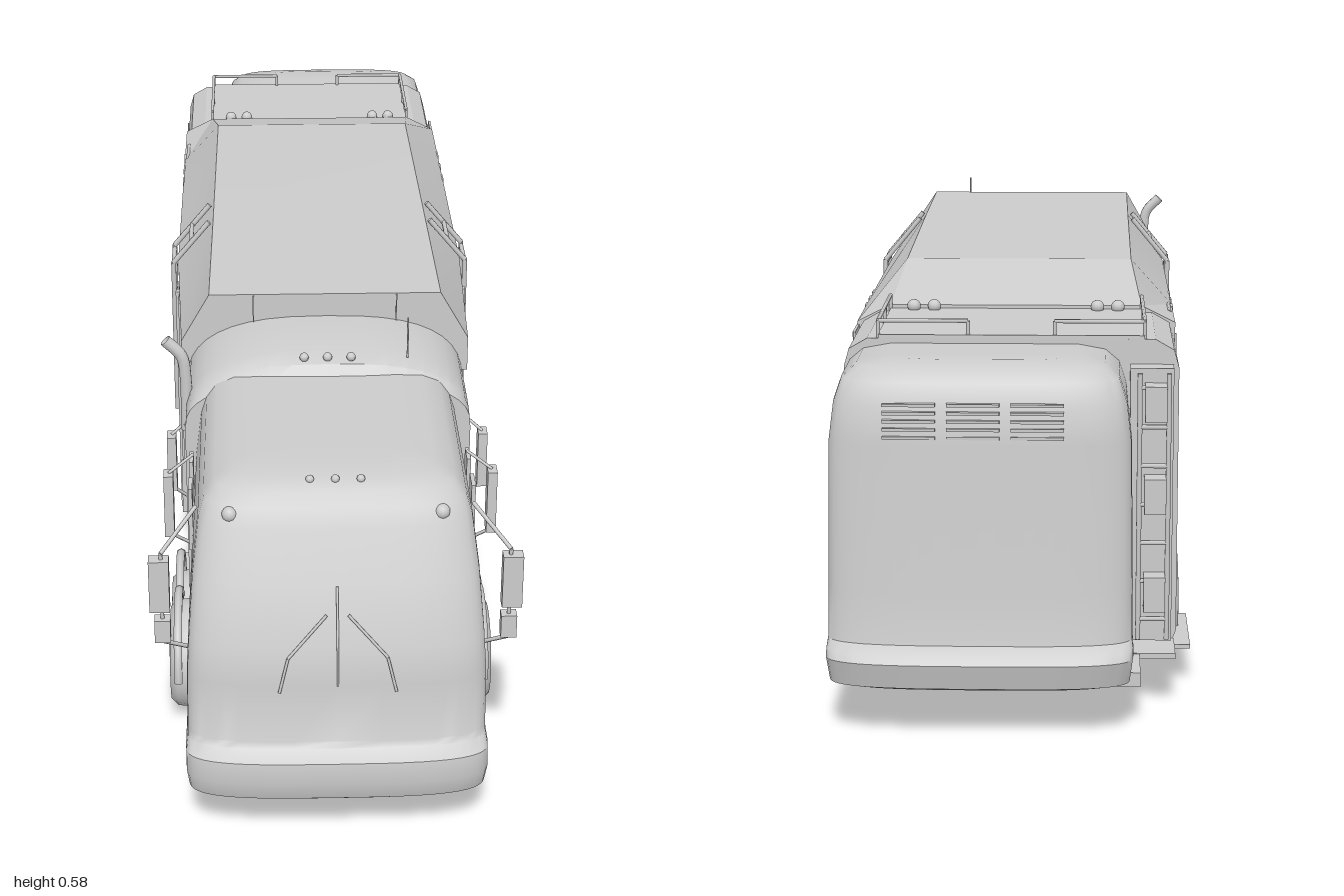
import * as THREE from 'three';
import { toCreasedNormals } from 'three/addons/utils/BufferGeometryUtils.js';

const grey = new THREE.MeshStandardMaterial({ color: 0xcccccc, side: THREE.DoubleSide });

// Skin closed rings of [x, y, z] points, capped at both ends
function loft(rings, crease = 0.6) {
  const n = rings[0].length, pos = rings.flat(2), idx = [];
  for (let i = 0; i < rings.length - 1; i++) {
    for (let j = 0; j < n; j++) {
      const a = i * n + j, b = i * n + (j + 1) % n;
      idx.push(a, b, b + n, a, b + n, a + n);
    }
  }
  [0, rings.length - 1].forEach((r, end) => {
    const c = pos.length / 3;
    for (let k = 0; k < 3; k++) pos.push(rings[r].reduce((s, p) => s + p[k], 0) / n);
    for (let j = 0; j < n; j++) {
      const a = r * n + j, b = r * n + (j + 1) % n;
      idx.push(c, end ? a : b, end ? b : a);
    }
  });
  const g = new THREE.BufferGeometry();
  g.setAttribute('position', new THREE.Float32BufferAttribute(pos, 3));
  g.setIndex(idx);
  return toCreasedNormals(g, crease);
}

const power = (v, e) => Math.sign(v) * Math.abs(v) ** e;

// Coach end: one plan outline per height, with a bowed front; rows are [y, half width, front z]
function coachEnd(rows, back) {
  return loft(rows.map(([y, w, zf]) => {
    const ring = [];
    for (let i = 0; i <= 24; i++) {
      const t = Math.PI * i / 24, d = 0.055;
      ring.push([-w * power(Math.cos(t), 0.6), y, zf - d + d * Math.max(0, Math.sin(t)) ** 0.6]);
    }
    ring.push([w, y, back], [-w, y, back]);
    return ring;
  }));
}

export function createModel() {
  const model = new THREE.Group();
  const add = (name, geo, x = 0, y = 0, z = 0) => {
    const m = new THREE.Mesh(geo, grey);
    m.name = name;
    m.position.set(x, y, z);
    model.add(m);
    return m;
  };
  const box = (name, w, h, d, x, y, z) => add(name, new THREE.BoxGeometry(w, h, d), x, y, z);
  const rod = (name, r, ...pts) => {
    for (let i = 0; i < pts.length - 1; i++) {
      const a = new THREE.Vector3(...pts[i]), b = new THREE.Vector3(...pts[i + 1]);
      const m = add(name, new THREE.CylinderGeometry(r, r, a.distanceTo(b), 6));
      m.position.copy(a).lerp(b, 0.5);
      m.quaternion.setFromUnitVectors(new THREE.Vector3(0, 1, 0), b.sub(a).normalize());
    }
  };

  // Front coach shell with bumper and raked windscreen
  add('frontCoach', coachEnd([
    [0.065, 0.195, 0.97], [0.08, 0.207, 0.99], [0.11, 0.21, 1], [0.14, 0.21, 0.995], [0.152, 0.208, 0.975],
    [0.16, 0.208, 0.97], [0.25, 0.207, 0.967], [0.3, 0.204, 0.957], [0.38, 0.198, 0.922], [0.45, 0.189, 0.889],
    [0.475, 0.181, 0.876], [0.492, 0.166, 0.862], [0.502, 0.14, 0.835], [0.505, 0.1, 0.79]], 0.1));

  // Rear coach shell, set off to one side
  const rear = add('rearCoach', coachEnd([
    [0.065, 0.19, 0.965], [0.075, 0.203, 0.99], [0.11, 0.207, 1], [0.12, 0.207, 0.993], [0.13, 0.206, 0.975],
    [0.2, 0.206, 0.962], [0.4, 0.203, 0.957], [0.45, 0.197, 0.95], [0.48, 0.187, 0.938], [0.496, 0.168, 0.92],
    [0.503, 0.13, 0.89]], 0.5), 0.0375);
  rear.rotation.y = Math.PI;

  // Cab with an arched roof
  const cabRing = (z, top) => {
    const ring = [[-0.214, 0.07, z], [0.214, 0.07, z]];
    for (let i = 0; i <= 20; i++) {
      const t = Math.PI * i / 20;
      ring.push([0.214 * power(Math.cos(t), 0.75), 0.42 + (top - 0.42) * Math.max(0, Math.sin(t)) ** 0.75, z]);
    }
    return ring;
  };
  add('cab', loft([cabRing(0.1, 0.535), cabRing(0.4, 0.535), cabRing(0.49, 0.53), cabRing(0.52, 0.52), cabRing(0.535, 0.5)]));

  // Long equipment body
  const half = [[0.225, 0.07], [0.233, 0.09], [0.233, 0.47], [0.226, 0.495], [0.2, 0.51]];
  const outline = [...half, ...half.map(([x, y]) => [-x, y]).reverse()];
  add('mainBody', loft([-0.775, 0.165].map(z => outline.map(([x, y]) => [x, y, z])), 0.2));

  // Raised roof with bevelled sides, falling away at the back
  add('raisedRoof', loft([[-0.56, 0.185, 0.52], [-0.4, 0.172, 0.565], [0.06, 0.175, 0.572], [0.38, 0.178, 0.572]].map(([z, w, top]) => {
    const s = z > 0.3 ? 0.222 : 0.235;
    return [[s, 0.44, z], [s, 0.495, z], [w, top, z], [-w, top, z], [-s, 0.495, z], [-s, 0.44, z]];
  }), 0.2));
  box('rearDeck', 0.37, 0.02, 0.22, 0, 0.505, -0.665);
  for (const x of [-0.11, 0.11]) box('roofFrontSeam', 0.002, 0.05, 0.003, x, 0.545, 0.381);

  // Wheel: tyre and dished hub turned about one axis
  const wheelGeo = new THREE.LatheGeometry([[0, -0.03], [0.04, -0.03], [0.05, -0.035], [0.07, -0.034], [0.08, -0.024],
    [0.083, 0], [0.08, 0.024], [0.07, 0.034], [0.05, 0.035], [0.046, 0.018], [0.026, 0.014], [0.022, 0.034], [0, 0.036]]
    .map(p => new THREE.Vector2(...p)), 28);
  const wheel = (s, x, z, r) => {
    const m = add('wheel', wheelGeo, s * x, r, z);
    m.rotation.z = -s * Math.PI / 2;
    m.scale.set(r / 0.083, 1, r / 0.083);
  };
  const archGeo = new THREE.TorusGeometry(0.091, 0.007, 6, 24, Math.PI);

  for (const s of [-1, 1]) {
    // Running gear
    for (const [z, r] of [[0.62, 0.083], [0.51, 0.076], [-0.28, 0.076], [-0.59, 0.083]]) {
      wheel(s, 0.207, z, r);
      add('wheelArch', archGeo, s * 0.228, 0.088, z).rotation.y = Math.PI / 2;
    }
    for (const z of [0.42, 0.34, 0.26, 0.2, -0.17, -0.39, -0.46]) wheel(s, 0.18, z, 0.078);
    for (const z of [0.34, 0.26, -0.17, -0.28, -0.39, -0.59]) wheel(s, 0.1, z, 0.078);
    box('chassisRail', 0.02, 0.03, 1.35, s * 0.13, 0.055, -0.05);
    box('sideSkirt', 0.015, 0.03, 0.55, s * 0.215, 0.063, -0.02);
    box('rearStep', 0.06, 0.006, 0.15, s * 0.225, 0.056, -0.67);

    // Windscreen wipers and corner lamps
    rod('wiper', 0.0022, [s * 0.08, 0.24, 0.968], [s * 0.068, 0.29, 0.961], [s * 0.015, 0.345, 0.94]);
    add('cornerLamp', new THREE.SphereGeometry(0.011, 12, 8), s * 0.145, 0.464, 0.868);

    // Front mirrors on arms
    box('mirror', 0.028, 0.08, 0.02, s * 0.243, 0.362, 0.88);
    box('lowerMirror', 0.022, 0.035, 0.018, s * 0.24, 0.29, 0.88);
    rod('mirrorArm', 0.003, [s * 0.192, 0.45, 0.82], [s * 0.24, 0.41, 0.88], [s * 0.24, 0.27, 0.88], [s * 0.2, 0.24, 0.85]);

    // Cab mirrors, door panels and handles
    for (const [z, y, h] of [[0.65, 0.36, 0.1], [0.5, 0.35, 0.09]]) {
      box('sideMirror', 0.014, h, 0.025, s * 0.236, y, z);
      rod('sideMirrorArm', 0.0025, [s * 0.2, y + 0.07, z - 0.02], [s * 0.236, y + h / 2, z], [s * 0.236, y - h / 2, z], [s * 0.204, y - 0.08, z - 0.02]);
    }
    for (const z of [0.7, 0.62]) box('cabWindow', 0.006, 0.1, 0.035, s * 0.203, 0.37, z);
    for (const z of [0.47, 0.36]) box('cabHandle', 0.008, 0.09, 0.006, s * 0.219, 0.29, z);
    rod('cabDoorSeam', 0.002, [s * 0.215, 0.1, 0.32], [s * 0.215, 0.41, 0.32], [s * 0.215, 0.41, 0.5]);
    box('cabStep', 0.02, 0.008, 0.12, s * 0.22, 0.09, 0.4);

    // Side ladder bending over the roof bevel
    for (const z of [0.01, 0.085]) {
      rod('ladderRail', 0.0045, [s * 0.242, 0.23, z], [s * 0.242, 0.5, z], [s * 0.182, 0.572, z]);
    }
    for (let y = 0.235; y < 0.5; y += 0.065) rod('ladderRung', 0.004, [s * 0.242, y, 0.01], [s * 0.242, y, 0.085]);
    rod('ladderRung', 0.004, [s * 0.212, 0.537, 0.01], [s * 0.212, 0.537, 0.085]);

    // Body seams, lockers and roof edge rods
    box('bodyPost', 0.008, 0.4, 0.012, s * 0.233, 0.28, 0.155);
    rod('lockerSeam', 0.0018, [s * 0.233, 0.49, -0.62], [s * 0.233, 0.25, -0.62], [s * 0.233, 0.25, -0.53]);
    box('lockerLatch', 0.008, 0.025, 0.012, s * 0.233, 0.17, -0.09);
    rod('awningRod', 0.005, [s * 0.228, 0.495, -0.27], [s * 0.228, 0.495, -0.48]);
    for (const z of [-0.3, -0.36, -0.42]) box('roofBracket', 0.012, 0.014, 0.025, s * 0.23, 0.49, z);

    // Guard rails around the rear deck
    rod('deckRail', 0.003, [s * 0.185, 0.534, -0.56], [s * 0.185, 0.534, -0.77], [s * 0.06, 0.534, -0.77]);
    for (const [x, z] of [[0.185, -0.56], [0.185, -0.66], [0.185, -0.77], [0.06, -0.77]]) {
      rod('deckRailPost', 0.003, [s * x, 0.5, z], [s * x, 0.534, z]);
    }
    for (const x of [0.12, 0.15]) add('workLamp', new THREE.SphereGeometry(0.01, 10, 8), s * x, 0.52, -0.57);
  }

  // Centre seam of the windscreen
  rod('windscreenSeam', 0.0018, [0, 0.25, 0.969], [0, 0.3, 0.958], [0, 0.38, 0.923]);
  // Roof marker lamps
  for (const x of [-0.035, 0, 0.035]) {
    add('coachMarkerLamp', new THREE.SphereGeometry(0.006, 10, 6), x, 0.501, 0.84);
    add('cabMarkerLamp', new THREE.SphereGeometry(0.007, 10, 6), x, 0.527, 0.51);
  }
  // Exhaust stack and aerial
  const stack = new THREE.CatmullRomCurve3([[-0.213, 0.4, 0.49], [-0.213, 0.49, 0.49], [-0.218, 0.522, 0.49], [-0.242, 0.548, 0.49]]
    .map(p => new THREE.Vector3(...p)));
  add('exhaustStack', new THREE.TubeGeometry(stack, 16, 0.009, 10));
  rod('aerial', 0.0015, [0.12, 0.52, 0.5], [0.12, 0.585, 0.5]);

  // Underbody floor and cross members
  box('underFloor', 0.38, 0.02, 1.85, 0.01, 0.068, 0);
  for (const z of [0.51, 0.3, 0.05, -0.17, -0.39, -0.59]) rod('axle', 0.012, [-0.19, 0.075, z], [0.19, 0.075, z]);
  box('fuelTank', 0.24, 0.03, 0.3, 0, 0.05, 0.02);

  // Rear grille slats
  for (let i = 0; i < 5; i++) {
    for (const x of [-0.04, 0.045, 0.13]) box('rearGrilleSlat', 0.07, 0.004, 0.008, x, 0.41 + i * 0.011, -0.953);
  }

  // Exposed tail of the truck: cabinet, ladder and boxes
  box('tailCabinet', 0.06, 0.39, 0.04, -0.195, 0.28, -0.785);
  for (const x of [-0.218, -0.178]) rod('tailLadderRail', 0.004, [x, 0.09, -0.815], [x, 0.47, -0.815]);
  for (let y = 0.12; y < 0.47; y += 0.055) rod('tailLadderRung', 0.0035, [-0.218, y, -0.815], [-0.178, y, -0.815]);
  for (const y of [0.16, 0.3, 0.43]) box('tailBox', 0.03, 0.05, 0.04, -0.2, y, -0.815);
  box('tailStep', 0.07, 0.008, 0.07, -0.195, 0.075, -0.81);

  // Side windows and locker door on the truck's exposed side
  for (const z of [-0.3, -0.46]) box('sideWindow', 0.006, 0.09, 0.11, -0.234, 0.35, z);
  box('sideLocker', 0.006, 0.28, 0.13, -0.234, 0.31, -0.08);
  box('rearLocker', 0.004, 0.24, 0.09, 0.234, 0.37, -0.575);
  return model;
}
